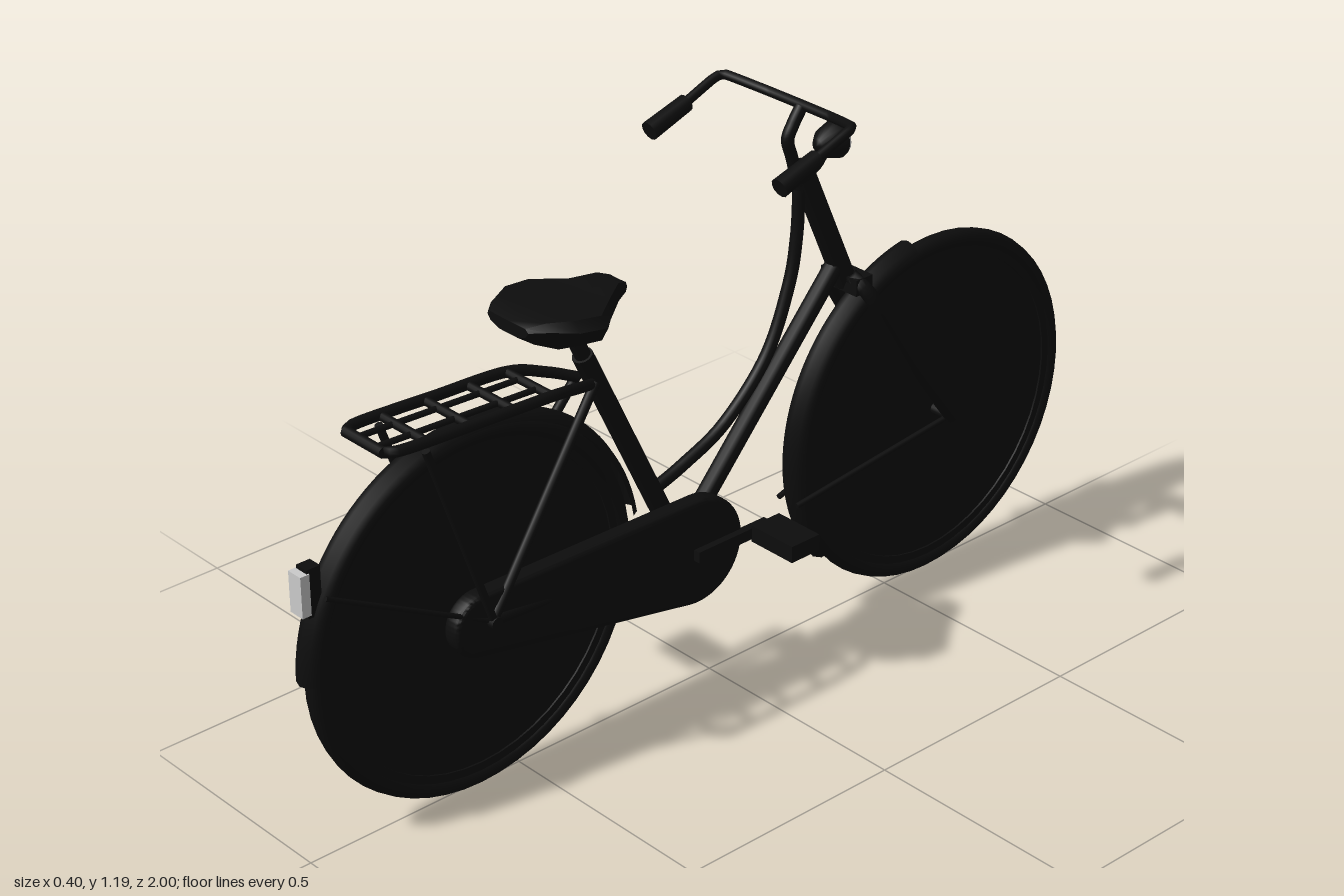
import * as THREE from 'three';
import { toCreasedNormals } from 'three/addons/utils/BufferGeometryUtils.js';

const black = new THREE.MeshStandardMaterial({ color: 0x0d0d0d });
const blackThin = new THREE.MeshStandardMaterial({ color: 0x0d0d0d, side: THREE.DoubleSide });
const pale = new THREE.MeshStandardMaterial({ color: 0xcccccc });
const V = (p) => new THREE.Vector3(...p);
const AXLE_Y = 0.385, REAR_Z = 0.6, FRONT_Z = -0.614;
const CRANK = [0.327, 0.08]; // y, z

export function createModel() {
  const bike = new THREE.Group();
  bike.name = 'bicycle';

  const add = (name, geometry, material = black, pos = [0, 0, 0]) => {
    const mesh = new THREE.Mesh(geometry, material);
    mesh.name = name;
    mesh.position.set(...pos);
    bike.add(mesh);
    return mesh;
  };

  // Straight round bar between two points
  const bar = (name, a, b, r0, r1 = r0, sides = 12) => {
    const from = V(a), dir = V(b).sub(from);
    const mesh = add(name, new THREE.CylinderGeometry(r1, r0, dir.length(), sides));
    mesh.position.copy(from).addScaledVector(dir, 0.5);
    mesh.quaternion.setFromUnitVectors(new THREE.Vector3(0, 1, 0), dir.normalize());
    return mesh;
  };
  // Smoothly bent tube through points
  const bent = (name, pts, r, closed = false, tension = 0.5) => add(name, new THREE.TubeGeometry(
    new THREE.CatmullRomCurve3(pts.map(V), closed, 'catmullrom', tension), 40, r, 10, closed), blackThin);
  const box = (name, size, pos) => add(name, new THREE.BoxGeometry(...size), black, pos);
  // Profile of [radius, x] spun about the x axis; angle runs from +z to +y
  const spin = (profile, start = 0, length = Math.PI * 2, segments = 48) =>
    new THREE.LatheGeometry(profile.map((p) => new THREE.Vector2(...p)), segments, start, length).rotateZ(Math.PI / 2);

  // Wheels: tyre, filled spoke disc and hub
  for (const [side, z] of [['front', FRONT_Z], ['rear', REAR_Z]]) {
    add(side + 'Tyre', new THREE.TorusGeometry(0.365, 0.02, 12, 56).rotateY(Math.PI / 2), black, [0, AXLE_Y, z]);
    add(side + 'Spokes', toCreasedNormals(spin([[0, -0.022], [0.025, -0.022], [0.335, -0.01], [0.335, -0.014],
      [0.355, -0.014], [0.355, 0.014], [0.335, 0.014], [0.335, 0.01], [0.025, 0.022], [0, 0.022]]), 0.5),
      blackThin, [0, AXLE_Y, z]);
    bar(side + 'Axle', [-0.075, AXLE_Y, z], [0.075, AXLE_Y, z], 0.013);
  }

  // Mudguards
  const guard = [[0.382, -0.026], [0.396, -0.02], [0.403, 0], [0.396, 0.02], [0.382, 0.026]];
  add('rearMudguard', spin(guard, 0, 2.97), blackThin, [0, AXLE_Y, 0.597]);
  add('frontMudguard', spin(guard, -0.63, 2.02), blackThin, [0, AXLE_Y, FRONT_Z]);

  // Frame
  bar('headTube', [0, 1.03, -0.24], [0, 0.75, -0.365], 0.024);
  bar('downTube', [0, 0.8, -0.34], [0, 0.36, 0.05], 0.02);
  bar('seatTube', [0, 0.82, 0.32], [0, 0.36, 0.1], 0.021);
  bar('seatPost', [0, 0.9, 0.357], [0, 0.8, 0.31], 0.016);
  bent('curvedTopTube', [[0, 0.99, -0.235], [0, 0.89, -0.23], [0, 0.79, -0.21], [0, 0.655, -0.15],
    [0, 0.547, -0.04], [0, 0.495, 0.07], [0, 0.465, 0.16]], 0.013);
  bar('bottomBracket', [-0.045, ...CRANK], [0.06, ...CRANK], 0.035, 0.035, 16);
  add('headCap', new THREE.SphereGeometry(0.026, 14, 8), black, [0, 1.025, -0.238]);

  // Fork, stays and carrier legs, mirrored
  for (const s of [1, -1]) {
    bent('forkLeg', [[s * 0.02, 0.77, -0.36], [s * 0.06, 0.73, -0.38], [s * 0.066, 0.55, -0.495],
      [s * 0.072, AXLE_Y, FRONT_Z]], 0.016);
    bar('frontMudguardStay', [s * 0.026, 0.305, -0.215], [s * 0.065, AXLE_Y, FRONT_Z], 0.006);
    bar('seatStay', [s * 0.025, 0.77, 0.31], [s * 0.06, AXLE_Y, REAR_Z], 0.01);
    bar('chainStay', [s * 0.03, 0.34, 0.1], [s * 0.055, AXLE_Y, REAR_Z], 0.013);
    bar('carrierLeg', [s * 0.068, 0.8, 0.745], [s * 0.065, AXLE_Y, REAR_Z], 0.008);
    bar('rearMudguardStay', [s * 0.026, 0.56, 0.95], [s * 0.06, AXLE_Y, REAR_Z], 0.005);
  }
  box('forkCrown', [0.1, 0.035, 0.045], [0, 0.755, -0.37]);

  // Luggage carrier
  const railY = (z) => 0.805 + (z - 0.44) * 0.04;
  for (const s of [1, -1]) {
    bent('carrierRail', [[s * 0.02, 0.765, 0.315], [s * 0.045, 0.785, 0.37], [s * 0.066, 0.805, 0.45],
      [s * 0.068, 0.813, 0.62], [s * 0.068, 0.821, 0.79], [s * 0.052, 0.822, 0.828]], 0.011);
    bar('carrierInnerRail', [s * 0.026, railY(0.45), 0.45], [s * 0.026, railY(0.82), 0.82], 0.006);
  }
  for (const z of [0.45, 0.54, 0.64, 0.74]) {
    bar('carrierCrossbar', [-0.068, railY(z), z], [0.068, railY(z), z], 0.009);
  }
  bar('carrierEndBar', [-0.055, 0.822, 0.828], [0.055, 0.822, 0.828], 0.011);

  // Saddle, lofted along z from sections of [z, half width, bottom, top]
  const sections = [[0.23, 0.026, 0.92, 0.95], [0.255, 0.036, 0.905, 0.96], [0.3, 0.068, 0.885, 0.953],
    [0.36, 0.122, 0.88, 0.955], [0.42, 0.115, 0.885, 0.962], [0.465, 0.085, 0.905, 0.962], [0.495, 0.058, 0.925, 0.952]];
  const outline = [[0.45, 0], [0.85, 0.3], [1, 0.72], [0.85, 0.97], [0, 0.94]];
  const ring = [...outline, ...outline.slice(0, 4).reverse().map(([x, y]) => [-x, y])];
  const n = ring.length, verts = [], faces = [];
  for (const [z, w, y0, y1] of sections) {
    for (const [x, t] of ring) verts.push(x * w, y0 + (y1 - y0) * t, z);
  }
  const last = (sections.length - 1) * n;
  for (let i = 0; i < sections.length - 1; i++) {
    for (let j = 0; j < n; j++) {
      const a = i * n + j, b = i * n + (j + 1) % n;
      faces.push(a, b, b + n, a, b + n, a + n);
    }
  }
  for (let j = 1; j < n - 1; j++) faces.push(0, j + 1, j, last, last + j, last + j + 1);
  const saddle = new THREE.BufferGeometry();
  saddle.setAttribute('position', new THREE.Float32BufferAttribute(verts, 3));
  saddle.setIndex(faces);
  add('saddle', toCreasedNormals(saddle, 0.7), blackThin);

  // Chain case: hull of a large front circle and a small rear one
  const [cy, cz] = CRANK, R = 0.105, r = 0.056, dz = REAR_Z + 0.02 - cz, dy = AXLE_Y - cy - 0.004;
  const tilt = Math.atan2(dy, dz), spread = Math.acos((R - r) / Math.hypot(dz, dy));
  const hull = new THREE.Shape();
  hull.absarc(cz, cy, R, tilt + spread, tilt - spread + Math.PI * 2, false);
  hull.absarc(cz + dz, cy + dy, r, tilt - spread, tilt + spread, false);
  const caseGeo = new THREE.ExtrudeGeometry(hull, { depth: 0.02, bevelThickness: 0.01, bevelSize: 0.01,
    bevelSegments: 3, curveSegments: 20 }).rotateY(-Math.PI / 2);
  add('chainCase', toCreasedNormals(caseGeo, 0.6), black, [0.05, 0, 0]);

  // Cranks and pedals, half a turn apart
  for (const s of [1, -1]) {
    const pedalZ = cz - s * 0.163;
    box('crankArm', [0.018, 0.024, 0.19], [s * 0.066, cy, cz - s * 0.08]);
    bar('pedalSpindle', [s * 0.06, cy, pedalZ], [s * 0.1, cy, pedalZ], 0.01);
    box('pedal', [0.115, 0.036, 0.074], [s * 0.131, cy, pedalZ]);
  }

  // Stem, handlebar and grips
  bent('stem', [[0, 1.0, -0.232], [0, 1.06, -0.215], [0, 1.1, -0.203], [0, 1.13, -0.217], [0, 1.16, -0.238]], 0.013);
  bent('handlebar', [[-0.18, 1.145, -0.09], [-0.182, 1.178, -0.175], [-0.175, 1.184, -0.2], [-0.09, 1.165, -0.236],
    [0, 1.163, -0.24], [0.09, 1.165, -0.236], [0.175, 1.184, -0.2], [0.182, 1.178, -0.175], [0.18, 1.145, -0.09]],
    0.01, false, 0.2);
  for (const s of [1, -1]) bar('grip', [s * 0.18, 1.15, -0.105], [s * 0.18, 1.118, -0.01], 0.018, 0.02);

  // Headlamp with bracket and lens, pointing to -z
  const lampShell = [[0, 0], [0.014, 0.003], [0.03, 0.022], [0.038, 0.05], [0.036, 0.056]];
  add('headlampBody', new THREE.LatheGeometry(lampShell.map((p) => new THREE.Vector2(...p)), 20).rotateX(-Math.PI / 2),
    blackThin, [0, 1.065, -0.28]);
  const lens = add('headlampLens', new THREE.SphereGeometry(0.036, 20, 8, 0, Math.PI * 2, 0, Math.PI / 2)
    .scale(1, 0.5, 1).rotateX(-Math.PI / 2), pale, [0, 1.065, -0.335]);
  lens.scale.set(1, 1, 1);
  bent('headlampBracket', [[0, 1.01, -0.245], [0, 1.02, -0.28], [0, 1.045, -0.305]], 0.008);

  // Rear lamp on its mudguard bracket
  box('rearLampBracket', [0.03, 0.1, 0.03], [0, 0.575, 0.965]);
  add('rearLamp', new THREE.BoxGeometry(0.036, 0.085, 0.02), pale, [0, 0.575, 0.986]);

  return bike;
}
